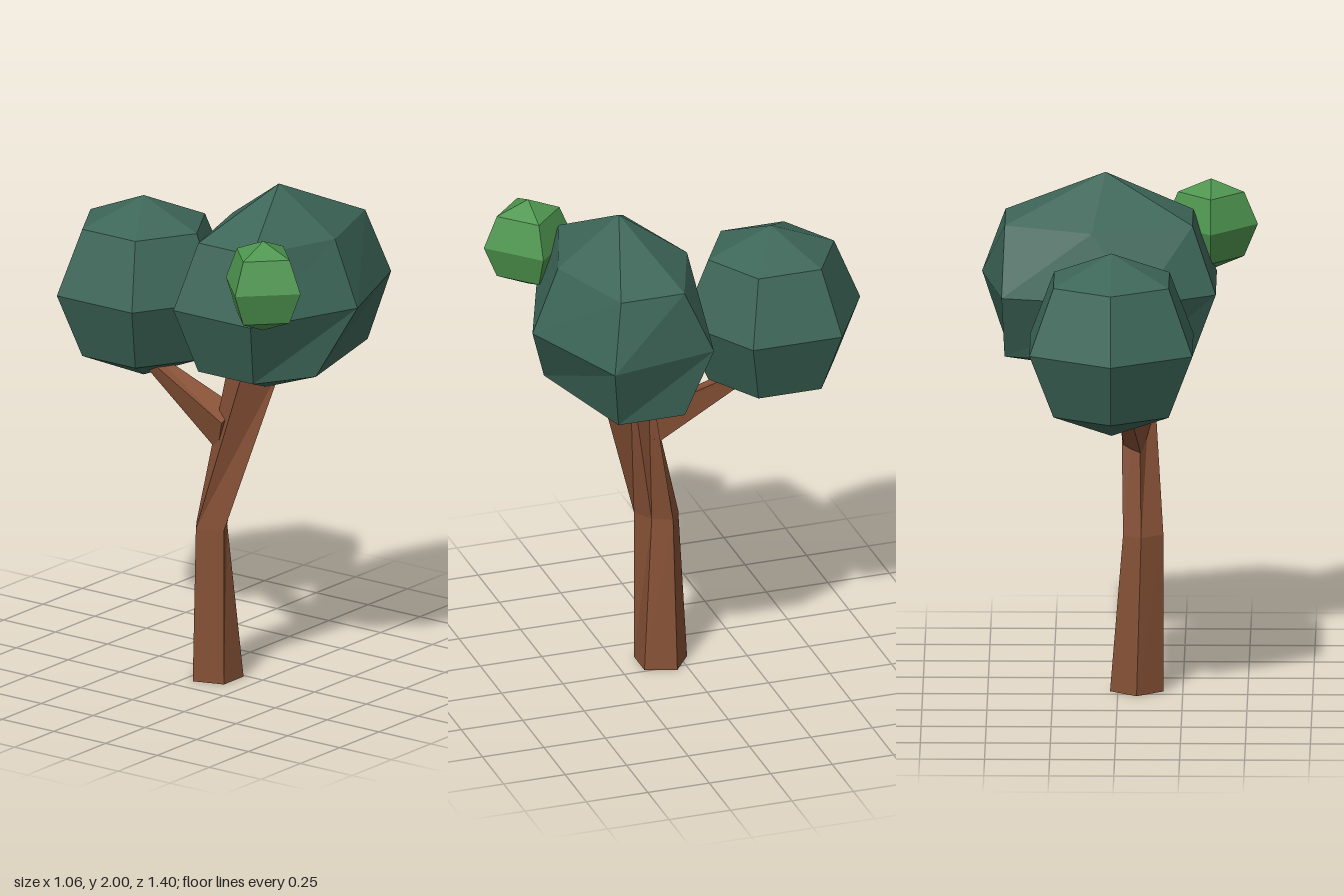
import * as THREE from 'three';

// Skin a stack of cross-sections with flat facets; a one-point ring is a pole.
function loft(rings) {
  const pos = [];
  const tri = (a, b, c) => pos.push(...a, ...b, ...c);
  const n = Math.max(...rings.map((r) => r.length));
  for (let k = 0; k < rings.length - 1; k++) {
    const lo = rings[k], hi = rings[k + 1];
    for (let i = 0; i < n; i++) {
      const j = (i + 1) % n;
      if (lo.length > 1) tri(lo[i], lo[j], hi[j % hi.length]);
      if (hi.length > 1) tri(lo[i % lo.length], hi[j], hi[i]);
    }
  }
  // End caps
  const first = rings[0], last = rings[rings.length - 1];
  for (let i = 1; i < first.length - 1; i++) tri(first[0], first[i + 1], first[i]);
  for (let i = 1; i < last.length - 1; i++) tri(last[0], last[i], last[i + 1]);
  const geo = new THREE.BufferGeometry();
  geo.setAttribute('position', new THREE.Float32BufferAttribute(pos, 3));
  geo.computeVertexNormals();
  return geo;
}

// Horizontal ring from [x, z] pairs, running from the front towards +x.
const level = (y, pts) => pts.map(([x, z]) => [x, y, z]);

// Regular faceted foliage ball
function ball(radius, sides, turn) {
  const geo = new THREE.SphereGeometry(radius, sides, 4).toNonIndexed();
  geo.rotateY(turn);
  geo.computeVertexNormals();
  return geo;
}

export function createModel() {
  const bark = new THREE.MeshStandardMaterial({ color: 0x85503a });
  bark.name = 'bark brown';
  bark.color.set(0x855035);
  const darkLeaf = new THREE.MeshStandardMaterial({ color: 0x3d6658 });
  darkLeaf.name = 'dark leaf green';
  const lightLeaf = new THREE.MeshStandardMaterial({ color: 0x4e964f });
  lightLeaf.name = 'light leaf green';

  const group = new THREE.Group();
  group.name = 'tree';
  const add = (name, geo, mat, x = 0, y = 0, z = 0) => {
    const mesh = new THREE.Mesh(geo, mat);
    mesh.name = name;
    mesh.position.set(x, y, z);
    group.add(mesh);
  };

  // Five-sided trunk, bent forward above the knee
  add('trunk', loft([
    level(0, [[-0.135, 0.165], [-0.01, 0.165], [0.03, 0.045], [-0.073, -0.03], [-0.175, 0.045]]),
    level(0.62, [[-0.135, 0.165], [-0.055, 0.12], [-0.02, 0.045], [-0.09, 0.0], [-0.175, 0.06]]),
    level(1.3, [[-0.02, 0.36], [0.01, 0.23], [-0.01, 0.15], [-0.08, 0.15], [-0.13, 0.26]]),
  ]), bark);

  // Tapering side branch reaching backwards
  add('branch', loft([
    [[-0.03, 1.09, 0.15], [-0.022, 0.955, 0.115], [-0.09, 0.92, 0.1], [-0.13, 1.05, 0.15]],
    [[-0.005, 1.24, -0.3], [-0.005, 1.205, -0.3], [-0.05, 1.195, -0.3], [-0.06, 1.235, -0.3]],
  ]), bark);

  // Large lopsided crown
  add('mainCrown', loft([
    level(1.2, [[-0.03, 0.29]]),
    level(1.3, [[-0.065, 0.555], [0.437, 0.425], [0.437, 0.155], [-0.05, 0.035], [-0.285, 0.155], [-0.285, 0.42]]),
    level(1.56, [[0.075, 0.65], [0.527, 0.47], [0.447, 0.04], [-0.08, -0.07], [-0.376, 0.104], [-0.376, 0.476]]),
    level(1.82, [[0.07, 0.545], [0.436, 0.414], [0.436, 0.156], [0.1, 0.03], [-0.286, 0.156], [-0.286, 0.418]]),
    level(2.0, [[0.05, 0.29]]),
  ]), darkLeaf);

  // Rear crown and small bright tuft
  add('rearCrown', ball(0.362, 6, Math.PI / 2), darkLeaf, 0.02, 1.477, -0.34);
  add('smallTuft', ball(0.18, 4, 0), lightLeaf, -0.353, 1.735, 0.52);

  return group;
}
